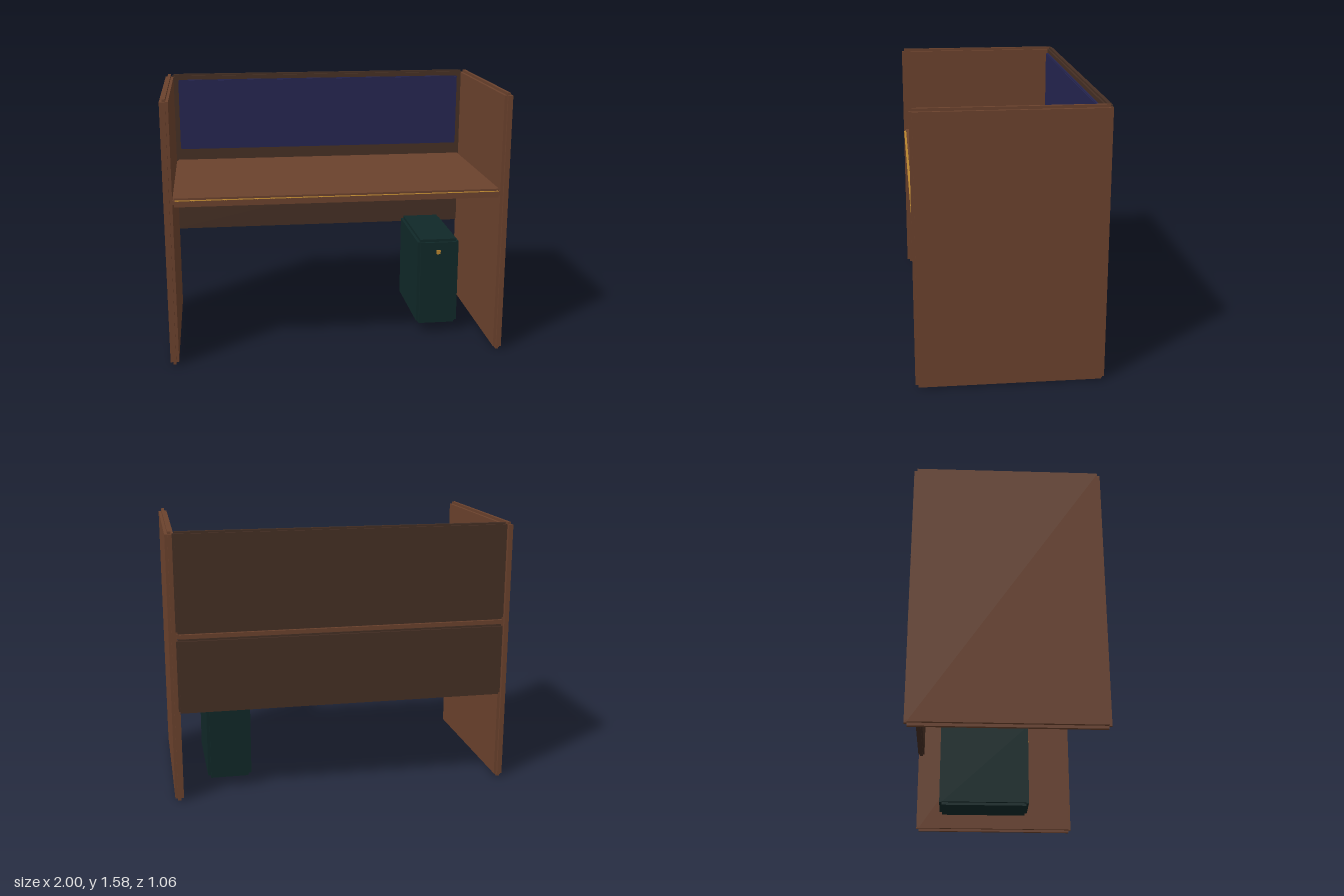
import * as THREE from 'three';

const material = (name, color) => {
  const m = new THREE.MeshStandardMaterial({ color });
  m.name = name;
  return m;
};

// Box between two corners
function block(name, min, max, mat) {
  const size = max.map((v, i) => v - min[i]);
  const mesh = new THREE.Mesh(new THREE.BoxGeometry(...size), mat);
  mesh.position.set(...max.map((v, i) => (v + min[i]) / 2));
  mesh.name = name;
  return mesh;
}

// Panel with stepped edges: three crossed boxes, each full length along one axis
function steppedBlock(name, min, max, step, mat) {
  const group = new THREE.Group();
  group.name = name;
  for (let axis = 0; axis < 3; axis++) {
    const lo = min.map((v, i) => (i === axis ? v : v + step));
    const hi = max.map((v, i) => (i === axis ? v : v - step));
    group.add(block(name + 'Core', lo, hi, mat));
  }
  return group;
}

export function createModel() {
  const wood = material('brown wood', 0x6b422d);
  const darkWood = material('dark wood', 0x452f24);
  const fabric = material('navy fabric', 0x252550);
  const metal = material('dark teal metal', 0x102828);
  const brass = material('brass', 0xb8842f);

  const model = new THREE.Group();
  model.name = 'cubicleDesk';

  // Side panels
  for (const [name, x] of [['leftSidePanel', 0.975], ['rightSidePanel', -0.975]]) {
    model.add(steppedBlock(name, [x - 0.025, 0, -0.53], [x + 0.025, 1.575, 0.53], 0.016, wood));
  }

  // Desk top with a thin brass trim on its front ledge
  model.add(steppedBlock('deskTop', [-0.955, 0.96, -0.533], [0.955, 1.012, 0.53], 0.014, wood));
  model.add(block('frontTrim', [-0.936, 0.997, 0.514], [0.936, 1.0, 0.53], brass));

  // Back panels above and below the desk top
  model.add(steppedBlock('upperBackPanel', [-0.96, 1.0, -0.533], [0.96, 1.575, -0.49], 0.011, darkWood));
  model.add(steppedBlock('lowerBackPanel', [-0.96, 0.535, -0.533], [0.96, 0.97, -0.49], 0.011, darkWood));

  // Pin board
  model.add(steppedBlock('pinBoard', [-0.92, 1.085, -0.495], [0.92, 1.54, -0.474], 0.005, fabric));

  // Hanging cabinet with its knob
  const cabinet = new THREE.Group();
  cabinet.name = 'cabinet';
  cabinet.add(steppedBlock('cabinetBody', [0.535, 0.06, -0.37], [0.795, 0.615, 0.215], 0.017, metal));
  cabinet.add(block('cabinetKnob', [0.652, 0.525, 0.21], [0.676, 0.549, 0.225], brass));
  model.add(cabinet);

  return model;
}
